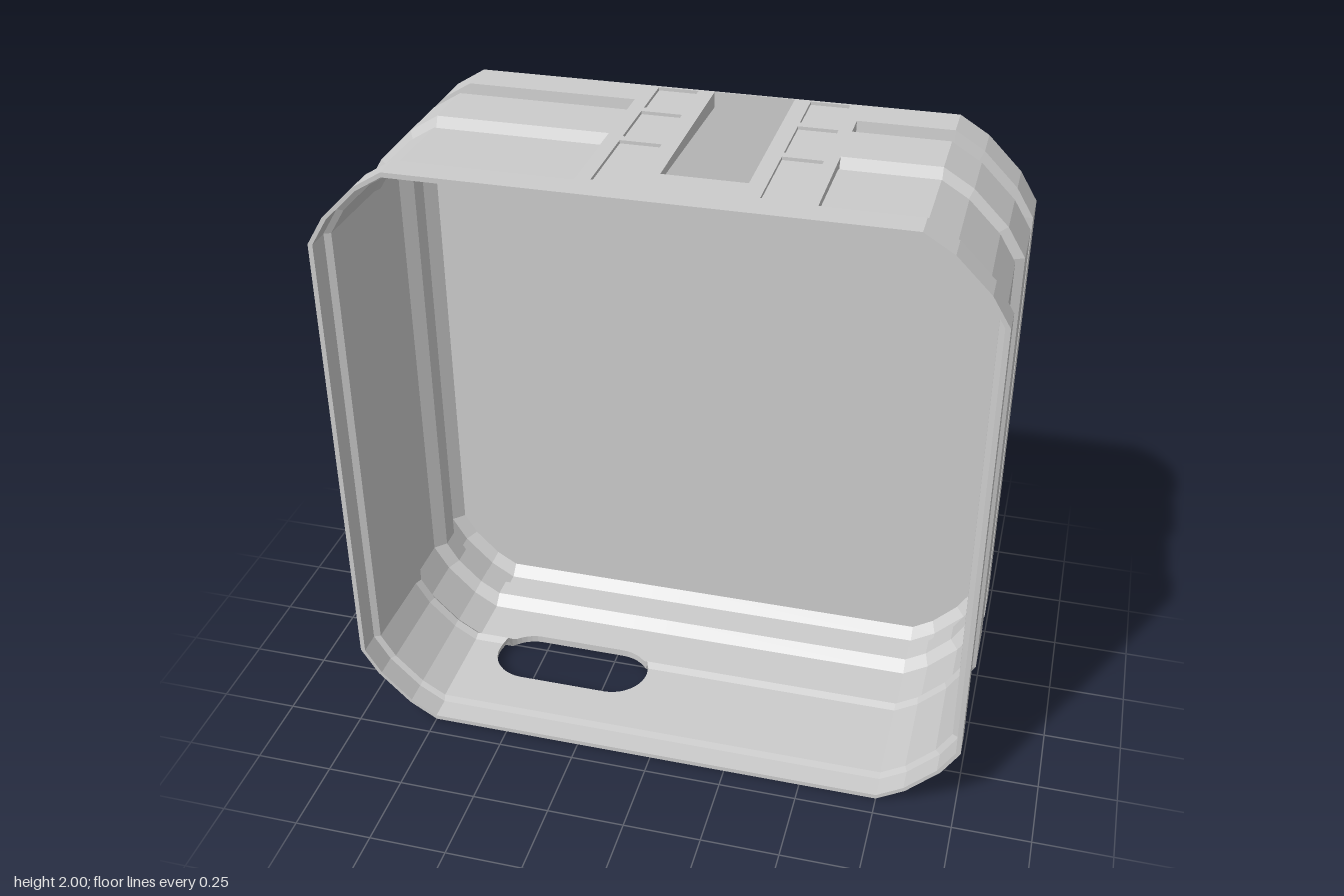
import * as THREE from 'three';

// Wall profile as [z, inset from the outer size], front to back
const OUTER = [[0.435, 0], [0.345, 0], [0.343, 0.02], [0.04, 0.025], [0.025, 0.035], [0.008, 0],
  [-0.18, 0], [-0.2, 0.035], [-0.21, 0.05], [-0.26, 0.055], [-0.265, 0], [-0.39, 0], [-0.435, 0.055]];
const INNER = [[0.435, 0.015], [0.36, 0.015], [0.35, 0.035], [0.05, 0.04], [0.025, 0.05], [0, 0.025],
  [-0.165, 0.025], [-0.2, 0.06], [-0.27, 0.06], [-0.285, 0.025], [-0.35, 0.025], [-0.385, 0.06]];

const PLATE = { x0: -0.22, x1: 0.46, z0: -0.39, z1: 0.435 };
const SLOT = { x0: -0.65, x1: -0.11, z: 0.08, r: 0.12 };

// Faceted rounded-square outline, anticlockwise from the front
function outline(inset) {
  const s = 0.25 - inset;
  const corner = [[0, 1], [0.36, 0.78], [0.78, 0.36], [1, 0]];
  const pts = [];
  const add = (sx, sy, list) => list.forEach(([u, v]) =>
    pts.push([sx * (0.75 + u * s), 1 + sy * (0.75 + v * s)]));
  const reversed = [...corner].reverse();
  add(-1, -1, reversed);
  pts.push([SLOT.x0, inset], [SLOT.x1, inset]);
  add(1, -1, corner);
  add(1, 1, reversed);
  pts.push([PLATE.x1, 2 - inset], [PLATE.x0, 2 - inset]);
  add(-1, 1, corner);
  return pts;
}
// Outline edges that start the slotted strip and the top plate
const SLOT_EDGE = 4, PLATE_EDGE = 14;

function part(name, geometry) {
  const mesh = new THREE.Mesh(geometry, new THREE.MeshStandardMaterial({
    color: 0xcccccc, flatShading: true, side: THREE.DoubleSide }));
  mesh.name = name;
  return mesh;
}

function facetedMesh(name, positions) {
  const g = new THREE.BufferGeometry();
  g.setAttribute('position', new THREE.Float32BufferAttribute(positions, 3));
  g.computeVertexNormals();
  return part(name, g);
}

function quad(out, a, b, c, d) {
  out.push(...a, ...b, ...c, ...a, ...c, ...d);
}

// Inset of a profile at any depth
function insetAt(profile, z) {
  for (let i = 0; i < profile.length - 1; i++) {
    const [za, a] = profile[i], [zb, b] = profile[i + 1];
    if (z <= za && z >= zb) return a + (b - a) * (za - z) / (za - zb);
  }
  return profile[profile.length - 1][1];
}

// Ribbed wall, left open for the top plate and the slotted strip
function wall() {
  const out = [];
  const chain = [...OUTER, ...[...INNER].reverse()];
  const rings = chain.map(([z, inset]) => outline(inset).map(([x, y]) => [x, y, z]));
  const n = rings[0].length;
  for (let k = 0; k < chain.length; k++) {
    if (k === OUTER.length - 1) continue;
    const a = rings[k], b = rings[(k + 1) % chain.length];
    const backChamfer = k === OUTER.length - 2;
    for (let j = 0; j < n; j++) {
      if (j === SLOT_EDGE || (j === PLATE_EDGE && !backChamfer)) continue;
      const m = (j + 1) % n;
      quad(out, a[j], b[j], b[m], a[m]);
    }
  }
  return facetedMesh('ribbedWall', out);
}

// Strip of the bottom wall with a round-ended slot cut through it
function slottedStrip() {
  const out = [];
  const half = (SLOT.x1 - SLOT.x0) / 2, mid = (SLOT.x1 + SLOT.x0) / 2;
  const xs = [];
  for (let i = 0; i <= 10; i++) {
    xs.push(half - SLOT.r + SLOT.r * Math.sin(i / 10 * Math.PI / 2));
  }
  const columns = [...[...xs].reverse().map(d => -d), ...xs];
  for (const side of [1, -1]) {
    const sections = columns.map(d => {
      const e = Math.max(0, Math.abs(d) - (half - SLOT.r));
      const edge = SLOT.z + side * Math.sqrt(Math.max(0, SLOT.r ** 2 - e * e));
      const run = profile => {
        const zs = profile.map(p => p[0]).filter(z => (z - SLOT.z) * side > 0)
          .map(z => side > 0 ? Math.max(z, edge) : Math.min(z, edge));
        if (side > 0) zs.push(edge); else zs.unshift(edge);
        return zs.map(z => [mid + d, insetAt(profile, z), z]);
      };
      return [...run(OUTER), ...run(INNER).reverse()];
    });
    for (let i = 0; i < sections.length - 1; i++) {
      const a = sections[i], b = sections[i + 1];
      a.forEach((p, k) => {
        const m = (k + 1) % a.length;
        quad(out, p, a[m], b[m], b[k]);
      });
    }
  }
  return facetedMesh('slottedBottom', out);
}

// Flat closing panel of the back
function panel(name, [z, inset], facing) {
  const shape = new THREE.Shape(outline(inset).map(p => new THREE.Vector2(...p)));
  const g = new THREE.ShapeGeometry(shape);
  if (facing < 0) {
    const idx = g.index.array;
    for (let i = 0; i < idx.length; i += 3) [idx[i], idx[i + 1]] = [idx[i + 1], idx[i]];
    g.computeVertexNormals();
  }
  const mesh = part(name, g);
  mesh.position.z = z;
  return mesh;
}

function rectangle(Type, x0, x1, z0, z1) {
  const r = new Type();
  r.moveTo(x0, -z0);
  r.lineTo(x1, -z0);
  r.lineTo(x1, -z1);
  r.lineTo(x0, -z1);
  r.closePath();
  return r;
}

// One layer of the top plate; its underside rises by frontLift towards the front
function plateLayer(name, y, height, pockets, frontLift) {
  const shape = rectangle(THREE.Shape, PLATE.x0, PLATE.x1, PLATE.z0, PLATE.z1);
  shape.holes = [[0, 0.25, -0.385, 0.25], ...pockets].map(p => rectangle(THREE.Path, ...p));
  const g = new THREE.ExtrudeGeometry(shape, { depth: height, bevelEnabled: false });
  g.rotateX(-Math.PI / 2);
  const pos = g.attributes.position;
  for (let i = 0; i < pos.count; i++) {
    if (pos.getY(i) > height / 2) continue;
    pos.setY(i, frontLift * (pos.getZ(i) - PLATE.z0) / (PLATE.z1 - PLATE.z0));
  }
  g.computeVertexNormals();
  const mesh = part(name, g);
  mesh.position.y = y;
  return mesh;
}

export function createModel() {
  const model = new THREE.Group();
  model.name = 'openCase';

  model.add(wall(), slottedStrip());
  model.add(panel('backOutside', OUTER[OUTER.length - 1], -1));
  model.add(panel('backInside', INNER[INNER.length - 1], 1));

  // Top plate: six shallow pockets either side of the window
  const pockets = [];
  for (const [x0, x1] of [[-0.175, -0.05], [0.3, 0.42]]) {
    for (const [z0, z1] of [[-0.38, -0.21], [-0.18, 0.02], [0.05, 0.335]]) {
      pockets.push([x0, x1, z0, z1]);
    }
  }
  model.add(plateLayer('topPlateBase', 1.95, 0.04, [], 0.035));
  model.add(plateLayer('topPlateFace', 1.99, 0.01, pockets, 0));
  return model;
}
